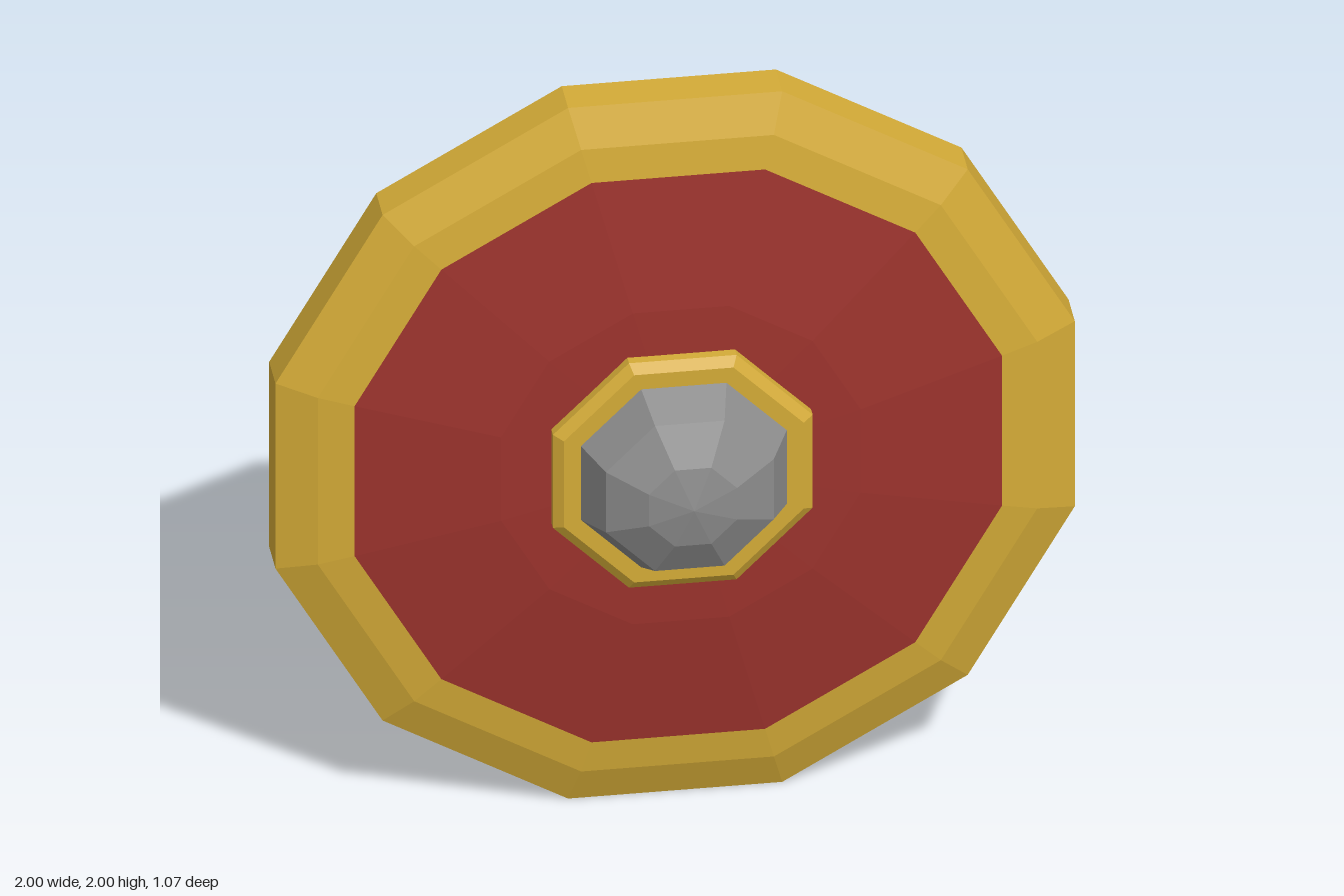
import * as THREE from 'three';

const flat = (name, color) => {
  const m = new THREE.MeshStandardMaterial({ color, flatShading: true });
  m.name = name;
  return m;
};

// Faceted turned part facing +z; profile is [distance to flat side, z], back to front
function turned(name, profile, sides, material) {
  const k = 1 / Math.cos(Math.PI / sides);
  const points = profile.map(([r, z]) => new THREE.Vector2(r * k, z));
  const geometry = new THREE.LatheGeometry(points, sides, Math.PI / sides);
  geometry.rotateX(Math.PI / 2);
  const mesh = new THREE.Mesh(geometry, material);
  mesh.name = name;
  mesh.position.y = 1;
  return mesh;
}

export function createModel() {
  const gold = flat('gold', 0xd4ab37);
  const red = flat('red', 0x9c332d);
  const steel = flat('steel', 0x8c8c8c);
  const wood = flat('wood', 0x6b4529);

  const shield = new THREE.Group();
  shield.name = 'roundShield';

  // Twelve-sided body: wooden back, bevelled rim, shallow red dome
  shield.add(turned('backBoard', [[0, 0.06], [0.895, 0.06]], 12, wood));
  shield.add(turned('rim', [
    [0.895, 0.06], [0.9, 0.06], [1, 0.11], [1, 0.215], [0.9, 0.255], [0.81, 0.268],
  ], 12, gold));
  shield.add(turned('face', [[0.81, 0.268], [0.45, 0.312], [0.2, 0.32], [0, 0.32]], 12, red));

  // Eight-sided boss
  shield.add(turned('bossCollar', [
    [0.3, 0.3], [0.325, 0.315], [0.325, 0.342], [0.3, 0.36], [0.24, 0.36],
  ], 8, gold));
  shield.add(turned('bossDome', [
    [0.26, 0.355], [0.21, 0.46], [0.11, 0.515], [0, 0.535],
  ], 8, steel));

  // Handle: chamfered bar running backwards
  const [w, h, c] = [0.105, 0.147, 0.036];
  const section = new THREE.Shape([
    [w - c, -h], [w, c - h], [w, h - c], [w - c, h],
    [c - w, h], [-w, h - c], [-w, c - h], [c - w, -h],
  ].map(([x, y]) => new THREE.Vector2(x, y)));
  const handle = new THREE.Mesh(
    new THREE.ExtrudeGeometry(section, { depth: 0.6, bevelEnabled: false }), wood);
  handle.name = 'handle';
  handle.position.set(0, 1.052, -0.535);
  shield.add(handle);

  return shield;
}
